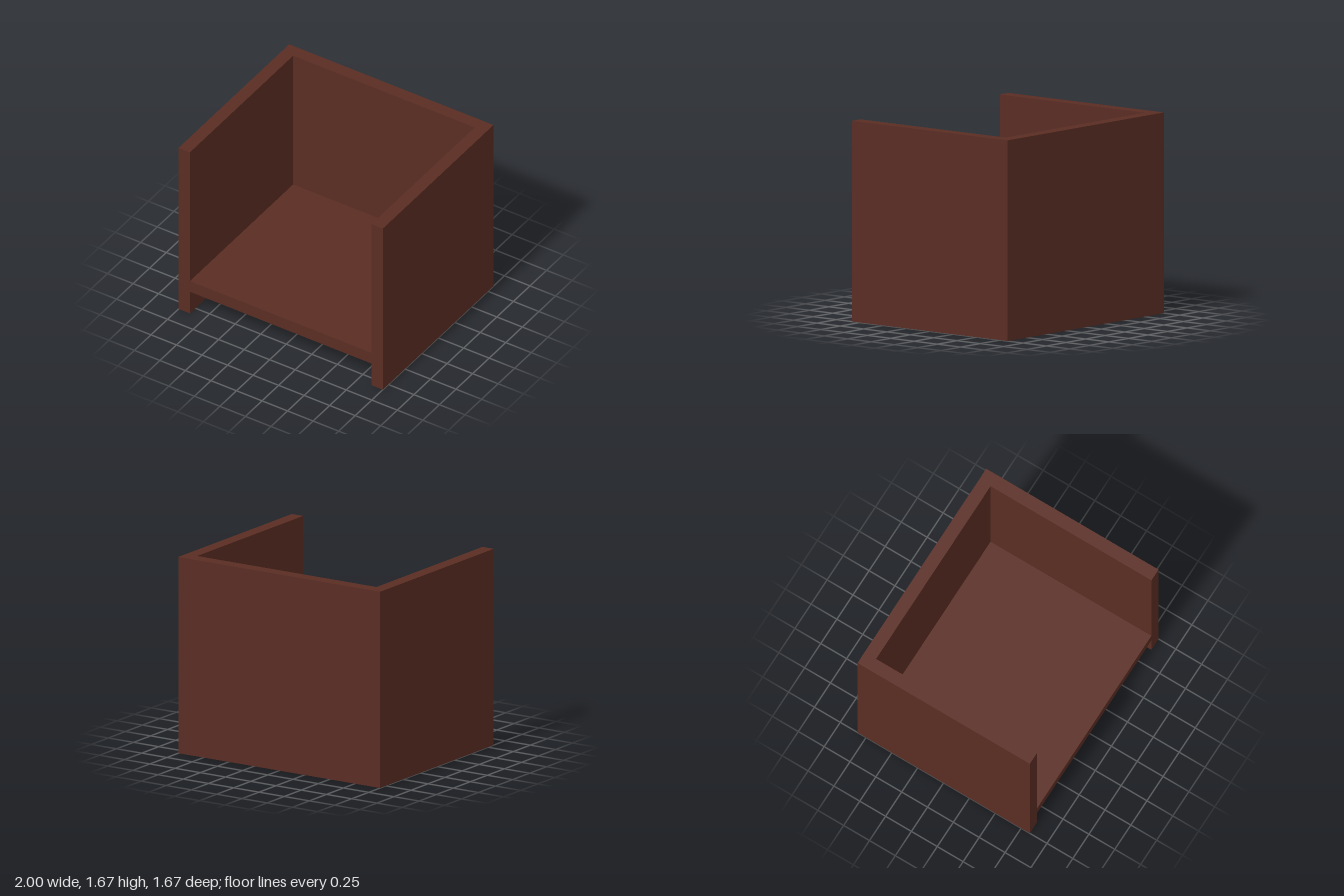
import * as THREE from 'three';

const WIDTH = 2, HEIGHT = 1.667, DEPTH = 1.667, BOARD = 0.111;
const SEAT_BOTTOM = 0.224;

export function createModel() {
  const model = new THREE.Group();
  model.name = 'cubeChair';
  const wood = new THREE.MeshStandardMaterial({ name: 'dark brown wood', color: 0x5a2d23 });

  // U-shaped surround: two sides and the back as one wall, open to the front
  const hx = WIDTH / 2, hz = DEPTH / 2;
  const plan = new THREE.Shape([
    [-hx, -hz], [-hx + BOARD, -hz], [-hx + BOARD, hz - BOARD], [hx - BOARD, hz - BOARD],
    [hx - BOARD, -hz], [hx, -hz], [hx, hz], [-hx, hz],
  ].map(([x, y]) => new THREE.Vector2(x, y)));
  const wallGeometry = new THREE.ExtrudeGeometry(plan, { depth: HEIGHT, bevelEnabled: false });
  wallGeometry.rotateX(-Math.PI / 2); // plan y becomes -z, extrusion becomes up
  const surround = new THREE.Mesh(wallGeometry, wood);
  surround.name = 'sidesAndBack';
  model.add(surround);

  // Seat board held between the sides, flush with their front edges
  const seat = new THREE.Mesh(
    new THREE.BoxGeometry(WIDTH - 2 * BOARD, BOARD, DEPTH - BOARD), wood);
  seat.name = 'seat';
  seat.position.set(0, SEAT_BOTTOM + BOARD / 2, BOARD / 2);
  model.add(seat);

  return model;
}
